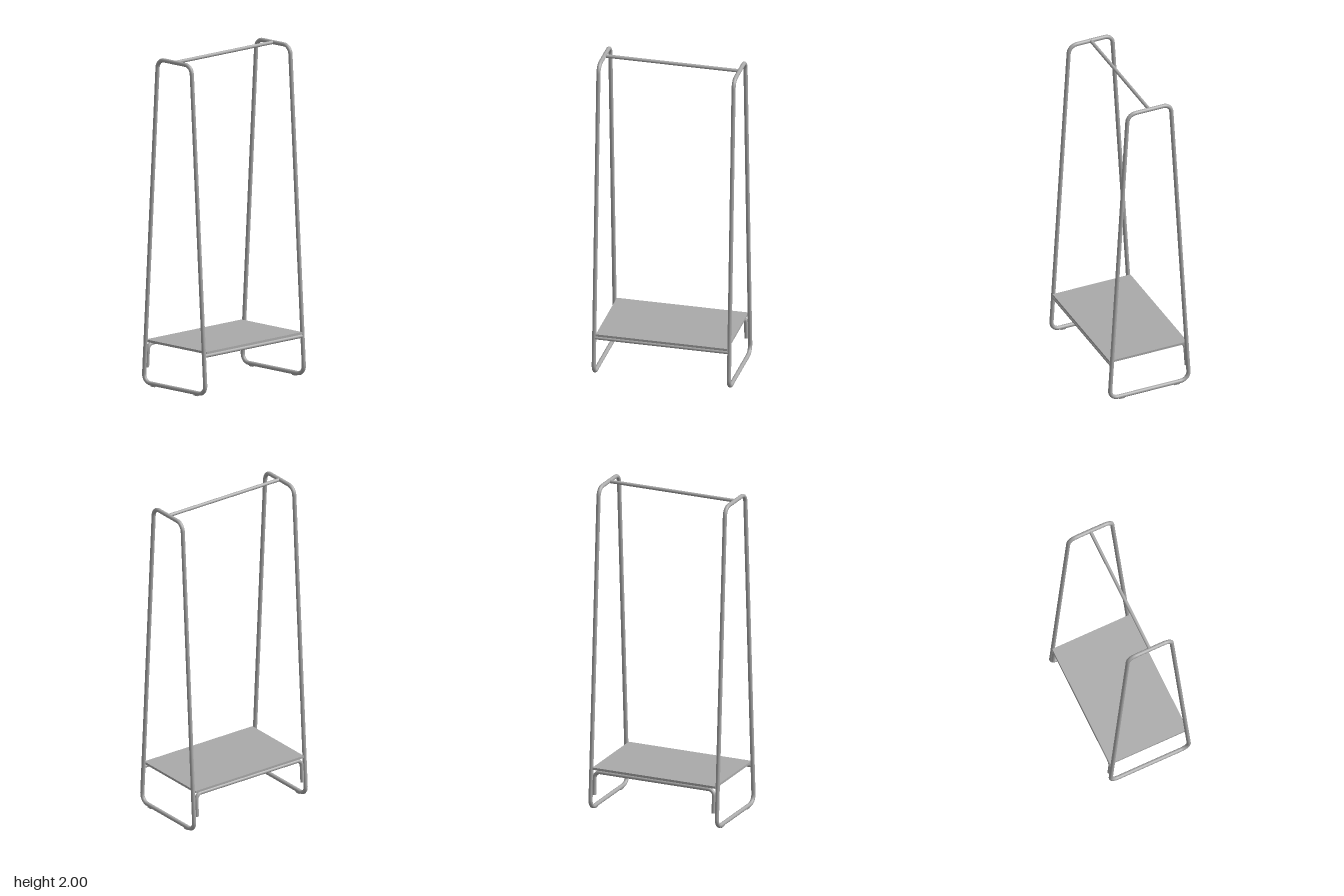
import * as THREE from 'three';

const steel = new THREE.MeshStandardMaterial({ color: 0xaaaaaa });
steel.name = 'grey steel';

const R = 0.0125; // tube radius
const TOP = 1.9875, BASE = 0.017;
const FRAME_X = 0.4125;

// Depth of the leaning leg centreline at height y
const legZ = (y) => 0.2585 - 0.06 * (y - BASE);

// Path through corner points with each bend rounded by its own setback
function roundedPath(points, setbacks, closed) {
  const path = new THREE.CurvePath();
  const n = points.length;
  const toward = (a, b, d) => a.clone().add(b.clone().sub(a).setLength(d));
  const bends = points.map((p, i) => {
    if (!closed && (i === 0 || i === n - 1)) return [p, p];
    const prev = points[(i + n - 1) % n], next = points[(i + 1) % n];
    return [toward(p, prev, setbacks[i]), toward(p, next, setbacks[i])];
  });
  for (let i = 0; i < n; i++) {
    const [start, end] = bends[i];
    if (start !== end) {
      // Cubic handles at 0.56 give a near-circular bend
      path.add(new THREE.CubicBezierCurve3(start,
        start.clone().lerp(points[i], 0.56), end.clone().lerp(points[i], 0.56), end));
    }
    if (closed || i < n - 1) path.add(new THREE.LineCurve3(end, bends[(i + 1) % n][0]));
  }
  path.arcLengthDivisions = 600;
  return path;
}

function addMesh(parent, name, geometry) {
  const mesh = new THREE.Mesh(geometry, steel);
  mesh.name = name;
  parent.add(mesh);
  return mesh;
}

// Straight rod along x
function addRod(parent, name, radius, length, y, z) {
  const rod = addMesh(parent, name, new THREE.CylinderGeometry(radius, radius, length, 20));
  rod.rotation.z = Math.PI / 2;
  rod.position.set(0, y, z);
}

export function createModel() {
  const model = new THREE.Group();
  model.name = 'clothesRack';
  const v = (x, y, z) => new THREE.Vector3(x, y, z);

  // Two tapered side loops standing on small glides
  for (const side of [1, -1]) {
    const frame = new THREE.Group();
    frame.name = side > 0 ? 'leftFrame' : 'rightFrame';
    frame.position.x = side * FRAME_X;
    const loop = roundedPath([
      v(0, BASE, legZ(BASE)), v(0, TOP, legZ(TOP)),
      v(0, TOP, -legZ(TOP)), v(0, BASE, -legZ(BASE)),
    ], [0.055, 0.05, 0.05, 0.055], true);
    addMesh(frame, 'frameTube', new THREE.TubeGeometry(loop, 400, R, 16, true));
    for (const end of [1, -1]) {
      const glide = addMesh(frame, 'floorGlide', new THREE.BoxGeometry(0.012, 0.01, 0.035));
      glide.position.set(0, 0.005, end * 0.18);
    }
    model.add(frame);
  }

  // Hanging rail between the tops of the frames
  addRod(model, 'hangingRail', 0.0105, FRAME_X * 2, TOP, 0);

  // Thin shelf fitted between the legs
  const shelf = addMesh(model, 'shelf', new THREE.BoxGeometry(0.802, 0.014, 0.508));
  shelf.position.y = 0.267;

  // Straight support under the front edge
  const supportY = 0.248;
  addRod(model, 'frontSupport', 0.011, FRAME_X * 2, supportY, legZ(supportY));

  // Rear support whose ends bend down alongside the back legs
  const endY = 0.108, endX = 0.389;
  const rear = roundedPath([
    v(-endX, endY, -legZ(endY)), v(-endX, supportY, -legZ(supportY)),
    v(endX, supportY, -legZ(supportY)), v(endX, endY, -legZ(endY)),
  ], [0, 0.035, 0.035, 0], false);
  addMesh(model, 'rearSupport', new THREE.TubeGeometry(rear, 200, 0.0115, 16, false));

  // Caps closing the ends of the rear support
  for (const side of [1, -1]) {
    const cap = addMesh(model, 'rearSupportCap', new THREE.CylinderGeometry(0.0115, 0.0115, 0.004, 16));
    cap.position.set(side * endX, endY, -legZ(endY));
    cap.rotation.x = Math.atan(0.06);
  }

  return model;
}
